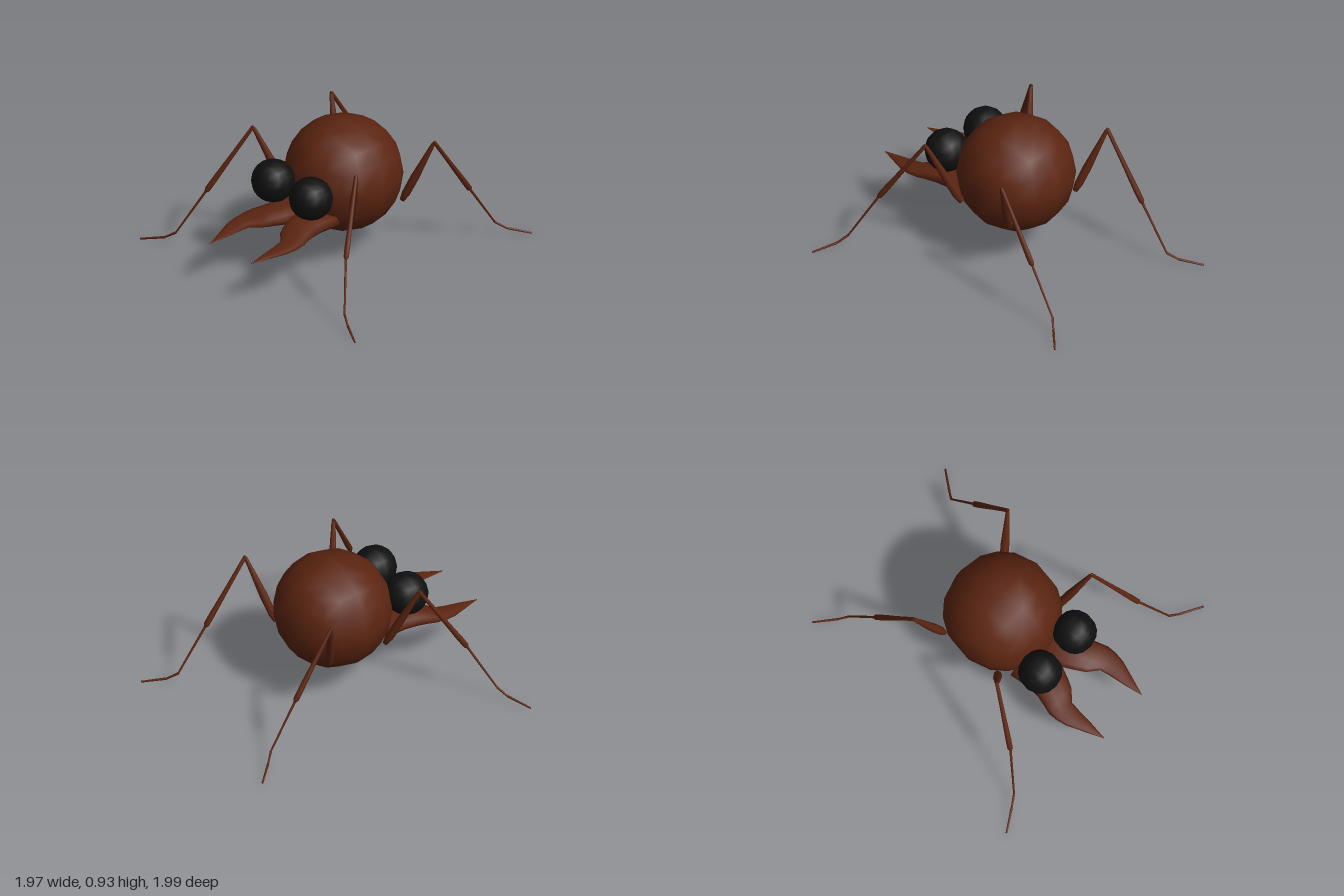
import * as THREE from 'three';

const shell = new THREE.MeshStandardMaterial({ color: 0x5c2511 });
shell.name = 'brownShell';
const eyeBlack = new THREE.MeshStandardMaterial({ color: 0x101010 });
eyeBlack.name = 'eyeBlack';

function addMesh(parent, name, geometry, material) {
  const mesh = new THREE.Mesh(geometry, material);
  mesh.name = name;
  parent.add(mesh);
  return mesh;
}

// Sphere made from a subdivided cube, with radial normals
function cubeSphere(radius, segments) {
  const g = new THREE.BoxGeometry(2, 2, 2, segments, segments, segments);
  const p = g.attributes.position;
  const v = new THREE.Vector3();
  for (let i = 0; i < p.count; i++) {
    v.fromBufferAttribute(p, i).normalize();
    g.attributes.normal.setXYZ(i, v.x, v.y, v.z);
    p.setXYZ(i, v.x * radius, v.y * radius, v.z * radius);
  }
  return g;
}

// Tapered limb between two points; profile is [fraction along, radius]
function addLimb(parent, name, from, to, profile) {
  const a = new THREE.Vector3(...from);
  const dir = new THREE.Vector3(...to).sub(a);
  const length = dir.length();
  const points = profile.map(([t, r]) => new THREE.Vector2(r, t * length));
  const limb = addMesh(parent, name, new THREE.LatheGeometry(points, 8), shell);
  limb.position.copy(a);
  limb.quaternion.setFromUnitVectors(new THREE.Vector3(0, 1, 0), dir.normalize());
}

const thigh = [[0, 0], [0.01, 0.016], [0.12, 0.027], [0.4, 0.028], [0.7, 0.02], [0.97, 0.013], [1.01, 0]];
const shin = [[-0.02, 0], [0, 0.012], [0.4, 0.014], [0.85, 0.019], [0.97, 0.018], [1, 0.008], [1.01, 0]];
const thin = [[-0.01, 0], [0, 0.008], [1, 0.006], [1.01, 0]];

function addLeg(parent, name, side, joints) {
  const leg = new THREE.Group();
  leg.name = name;
  parent.add(leg);
  const j = joints.map(([x, y, z]) => [x * side, y, z]);
  addLimb(leg, 'thigh', j[0], j[1], thigh);
  addLimb(leg, 'shin', j[1], j[2], shin);
  addLimb(leg, 'lowerShin', j[2], j[3], thin);
  addLimb(leg, 'ankle', j[3], j[4], thin);
  addLimb(leg, 'foot', j[4], j[5], thin);
}

// Mandible lofted through oval sections: z, inner x, outer x, bottom y, top y
const jawSections = [
  [0.28, -0.02, 0.25, 0.33, 0.43],
  [0.42, -0.02, 0.24, 0.325, 0.435],
  [0.5, 0.0, 0.25, 0.325, 0.43],
  [0.57, 0.035, 0.272, 0.33, 0.42],
  [0.63, 0.07, 0.292, 0.335, 0.395],
  [0.69, 0.14, 0.292, 0.335, 0.38],
  [0.76, 0.152, 0.28, 0.332, 0.367],
  [0.87, 0.165, 0.237, 0.328, 0.347],
  [0.99, 0.185, 0.189, 0.322, 0.326],
];

function mandibleGeometry(side) {
  const sides = 10, pos = [], index = [];
  for (const [z, x0, x1, y0, y1] of jawSections) {
    for (let k = 0; k < sides; k++) {
      const a = (k / sides) * Math.PI * 2 * side;
      const cx = (side * (x0 + x1)) / 2;
      pos.push(cx + ((x1 - x0) / 2) * Math.cos(a), (y0 + y1) / 2 + ((y1 - y0) / 2) * Math.sin(a), z);
    }
  }
  // Both sides wind the same way, by keeping rings anticlockwise about +z
  const tri = (a, b, c) => (side > 0 ? index.push(a, b, c) : index.push(a, c, b));
  const last = jawSections.length - 1;
  for (let i = 0; i < last; i++) {
    for (let k = 0; k < sides; k++) {
      const a = i * sides + k, b = i * sides + ((k + 1) % sides);
      tri(a, b, b + sides);
      tri(a, b + sides, a + sides);
    }
  }
  for (let k = 1; k < sides - 1; k++) {
    tri(0, k + 1, k);
    tri(last * sides, last * sides + k, last * sides + k + 1);
  }
  const g = new THREE.BufferGeometry();
  g.setAttribute('position', new THREE.Float32BufferAttribute(pos, 3));
  g.setIndex(index);
  g.computeVertexNormals();
  return g;
}

const frontJoints = [
  [0.29, 0.37, 0.21], [0.47, 0.82, 0.35], [0.64, 0.385, 0.6],
  [0.77, 0.095, 0.735], [0.835, 0.05, 0.77], [0.98, 0.012, 0.845],
];
const backJoints = [
  [0.29, 0.38, -0.22], [0.47, 0.82, -0.33], [0.49, 0.385, -0.625],
  [0.507, 0.095, -0.82], [0.555, 0.05, -0.875], [0.662, 0.012, -0.995],
];

export function createModel() {
  const model = new THREE.Group();
  model.name = 'roundInsect';

  addMesh(model, 'body', cubeSphere(0.378, 4), shell).position.set(0, 0.558, 0.012);

  for (const [label, side] of [['left', 1], ['right', -1]]) {
    addMesh(model, label + 'Eye', cubeSphere(0.14, 4), eyeBlack).position.set(side * 0.172, 0.59, 0.458);
    addMesh(model, label + 'Mandible', mandibleGeometry(side), shell);
    addLeg(model, label + 'FrontLeg', side, frontJoints);
    addLeg(model, label + 'BackLeg', side, backJoints);
  }
  return model;
}
